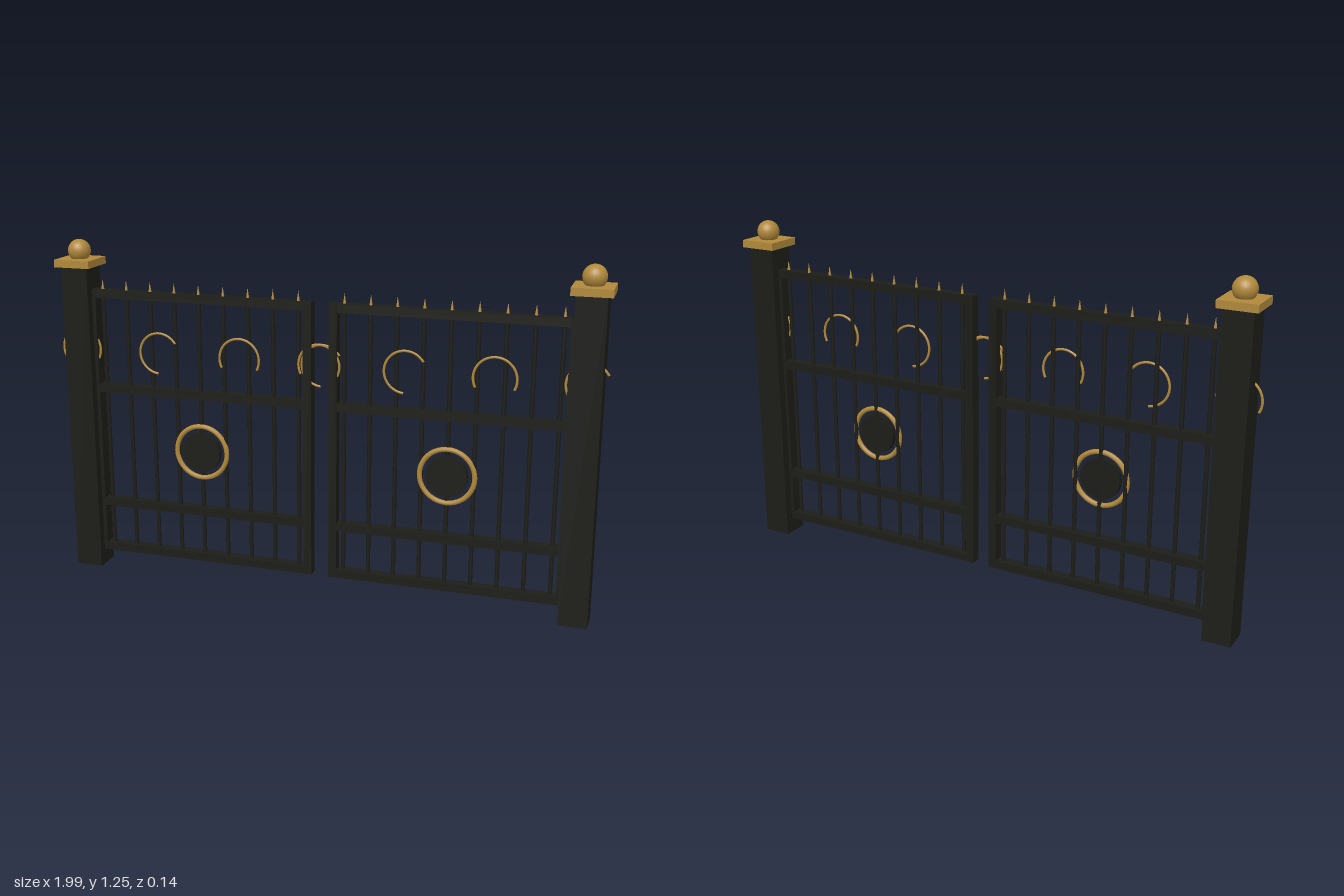
import * as THREE from 'three';

const iron = new THREE.MeshStandardMaterial({ color: 0x1c1c18 });
const gold = new THREE.MeshStandardMaterial({ color: 0xb0883a });

function add(parent, name, geometry, material, x, y, z = 0) {
  const mesh = new THREE.Mesh(geometry, material);
  mesh.name = name;
  mesh.position.set(x, y, z);
  parent.add(mesh);
  return mesh;
}

// Square post with a flat cap and a ball on top
function createPost(name, x) {
  const post = new THREE.Group();
  post.name = name;
  post.position.x = x;
  add(post, 'postShaft', new THREE.BoxGeometry(0.102, 1.155, 0.102), iron, 0, 0.5775);
  add(post, 'postCap', new THREE.BoxGeometry(0.137, 0.027, 0.137), gold, 0, 1.1675);
  add(post, 'postBall', new THREE.SphereGeometry(0.041, 24, 16), gold, 0, 1.209);
  return post;
}

// One gate leaf, built around its own middle
function createLeaf(name, x) {
  const leaf = new THREE.Group();
  leaf.name = name;
  leaf.position.x = x;
  const halfWidth = 0.427, bottom = 0.06, top = 1.072, bar = 0.03, depth = 0.04;

  // Frame: two stiles and four rails
  const stile = new THREE.BoxGeometry(bar, top - bottom, depth);
  for (const side of [-1, 1]) {
    add(leaf, 'stile', stile, iron, side * (halfWidth - bar / 2), (top + bottom) / 2);
  }
  const rail = new THREE.BoxGeometry(2 * (halfWidth - bar), bar, depth);
  for (const y of [bottom + bar / 2, 0.256, 0.703, top - bar / 2]) {
    add(leaf, 'rail', rail, iron, 0, y);
  }

  // Upright bars, each with a spike above the top rail
  const upright = new THREE.CylinderGeometry(0.0075, 0.0075, top - bottom - bar, 10);
  const spike = new THREE.ConeGeometry(0.007, 0.045, 8);
  for (let i = -4; i <= 4; i++) {
    add(leaf, 'uprightBar', upright, iron, i * 0.0938, (top + bottom) / 2);
    add(leaf, 'spike', spike, gold, i * 0.0938, 1.086);
  }

  // Row of open scrolls, alternately turned
  const sweep = Math.PI * 1.3;
  const scroll = new THREE.TorusGeometry(0.075, 0.0045, 8, 32, sweep);
  for (let i = 0; i < 4; i++) {
    const arc = add(leaf, 'scroll', scroll, gold, (i - 1.5) * 0.31, 0.848, 0.011);
    arc.rotation.z = (i % 2 ? 0.18 : -0.15) * Math.PI;
  }

  // Medallion: gold ring around a dark disc
  add(leaf, 'medallionRing', new THREE.TorusGeometry(0.098, 0.009, 10, 40), gold, 0, 0.486, 0.005);
  const disc = new THREE.CylinderGeometry(0.074, 0.074, 0.02, 32).rotateX(Math.PI / 2);
  add(leaf, 'medallionDisc', disc, iron, 0, 0.486, 0.005);
  return leaf;
}

export function createModel() {
  const gate = new THREE.Group();
  gate.name = 'doubleGate';
  const middle = 0.004;
  for (const [label, side] of [['right', -1], ['left', 1]]) {
    gate.add(createPost(label + 'Post', middle + side * 0.921));
    gate.add(createLeaf(label + 'Leaf', middle + side * 0.459));
  }
  return gate;
}
